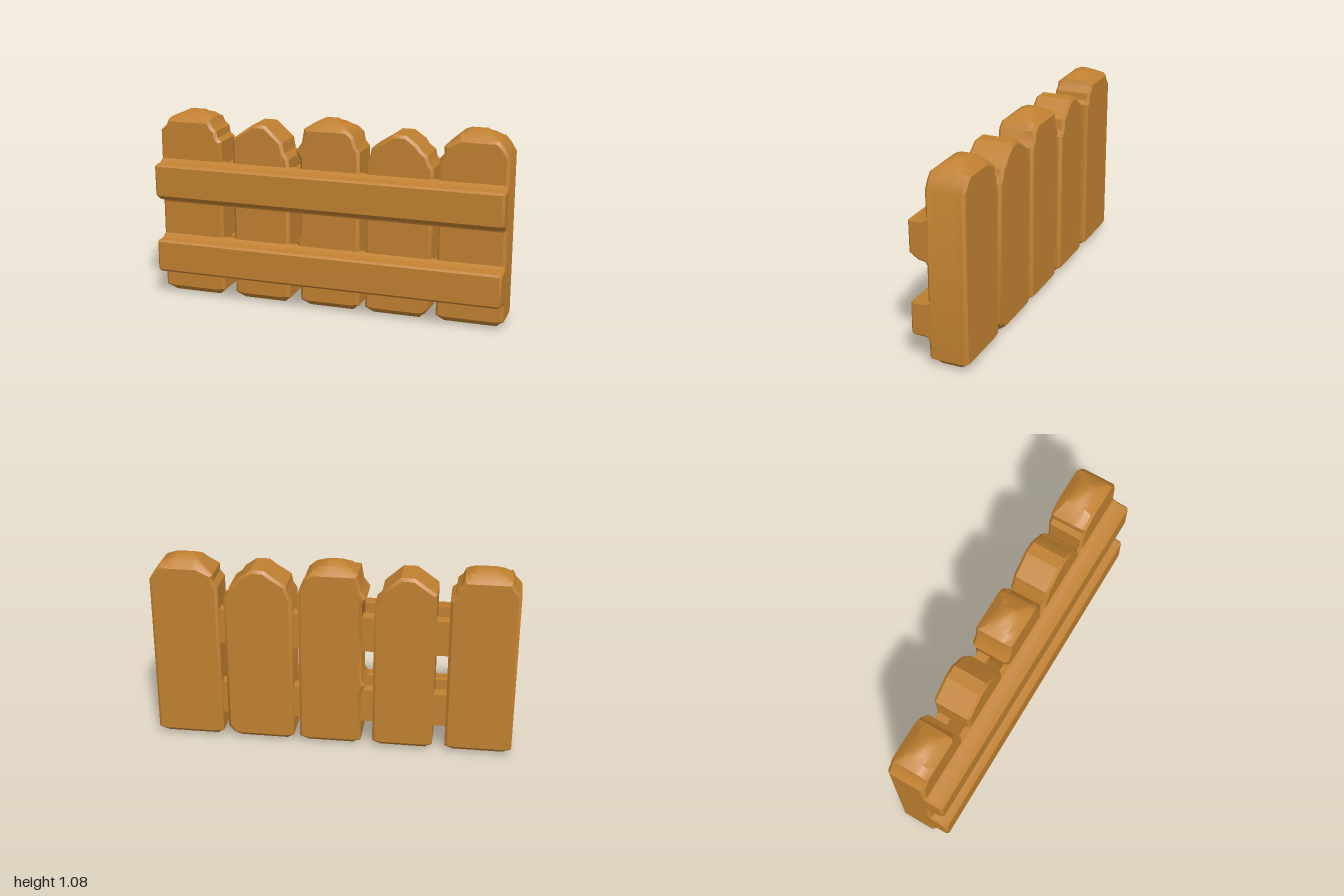
import * as THREE from 'three';
import { toCreasedNormals } from 'three/addons/utils/BufferGeometryUtils.js';

const BACK = -0.155, FRONT = 0.06;

// Solid from a closed outline, with its outer size kept by an inward bevel
function slab(points, depth, bevel, steps) {
  const shape = new THREE.Shape(points.map(([x, y]) => new THREE.Vector2(x, y)));
  const geo = new THREE.ExtrudeGeometry(shape, {
    depth: depth - 2 * bevel, steps, bevelEnabled: true, bevelSegments: 1,
    bevelSize: bevel, bevelThickness: bevel, bevelOffset: -bevel,
  });
  return geo.translate(0, 0, bevel - depth / 2);
}

// Picket board: chamfered foot, and a hipped head on the tall ones
function picketGeometry(points) {
  const depth = FRONT - BACK;
  const geo = slab(points, depth, 0.015, 5);
  const pos = geo.attributes.position;
  for (let i = 0; i < pos.count; i++) {
    const d = depth / 2 - Math.abs(pos.getZ(i));
    const cap = 1.02 + 0.06 * Math.min(1, d / 0.07);
    const foot = Math.max(0, 0.04 - d);
    pos.setY(i, Math.max(foot, Math.min(cap, pos.getY(i))));
  }
  geo.translate(0, 0, (FRONT + BACK) / 2);
  return toCreasedNormals(geo, 0.6);
}

// Rail: side profile (z, y) run along x, flared where it meets the boards
function railGeometry(profile) {
  const geo = slab(profile, 2, 0.012, 1);
  geo.rotateY(-Math.PI / 2);
  return toCreasedNormals(geo, 0.6);
}

export function createModel() {
  const group = new THREE.Group();
  const wood = new THREE.MeshStandardMaterial({ color: 0xc08030 });
  wood.name = 'wood';
  const add = (name, geo) => {
    const mesh = new THREE.Mesh(geo, wood);
    mesh.name = name;
    group.add(mesh);
    return mesh;
  };

  // Hand-cut board outlines, from the foot counterclockwise
  const pickets = [
    [[-1, 0.04], [-0.955, 0], [-0.675, 0], [-0.63, 0.04], [-0.63, 0.92], [-0.655, 0.94],
      [-0.66, 0.98], [-0.685, 1.0], [-0.7, 1.045], [-0.73, 1.06], [-0.77, 1.08], [-0.86, 1.08],
      [-0.9, 1.06], [-0.95, 1.04], [-0.965, 1.0], [-1, 0.965]],
    [[-0.56, 0.04], [-0.52, 0], [-0.27, 0], [-0.225, 0.04], [-0.225, 0.85], [-0.255, 0.88],
      [-0.265, 0.94], [-0.365, 1.03], [-0.44, 1.03], [-0.56, 0.945]],
    [[-0.16, 0.04], [-0.115, 0], [0.14, 0], [0.185, 0.04], [0.185, 0.92], [0.16, 0.95],
      [0.15, 1.0], [0.11, 1.04], [0.06, 1.06], [0.03, 1.08], [-0.04, 1.08], [-0.09, 1.055],
      [-0.135, 1.03], [-0.15, 0.95], [-0.185, 0.9], [-0.16, 0.86], [-0.16, 0.42],
      [-0.185, 0.38], [-0.16, 0.34]],
    [[0.22, 0.04], [0.26, 0], [0.525, 0], [0.56, 0.035], [0.595, 0.075], [0.595, 0.86],
      [0.57, 0.89], [0.56, 0.93], [0.525, 0.955], [0.505, 0.985], [0.44, 1.03], [0.37, 1.03],
      [0.33, 1.0], [0.25, 0.95], [0.24, 0.9], [0.22, 0.87]],
    [[0.625, 0.04], [0.665, 0], [0.955, 0], [1, 0.04], [1, 0.95], [0.97, 1.0],
      [0.94, 1.04], [0.89, 1.06], [0.86, 1.08], [0.77, 1.08], [0.73, 1.06], [0.65, 0.99],
      [0.65, 0.95], [0.625, 0.92]],
  ];
  pickets.forEach((p, i) => add(`picket${i + 1}`, picketGeometry(p)));

  // Two horizontal rails on the front
  add('upperRail', railGeometry([
    [0.03, 0.55], [0.06, 0.55], [0.068, 0.565], [0.11, 0.573], [0.155, 0.605],
    [0.157, 0.775], [0.145, 0.786], [0.08, 0.79], [0.06, 0.805], [0.03, 0.805]]));
  add('lowerRail', railGeometry([
    [0.03, 0.13], [0.06, 0.13], [0.075, 0.15], [0.145, 0.152], [0.157, 0.165],
    [0.157, 0.33], [0.145, 0.341], [0.08, 0.345], [0.06, 0.36], [0.03, 0.36]]));

  // Short spacers between neighbouring boards, behind each rail
  for (const [x, w] of [[-0.595, 0.11], [-0.192, 0.1], [0.202, 0.07], [0.61, 0.07]]) {
    for (const [y, h] of [[0.25, 0.19], [0.685, 0.2]]) {
      const geo = new THREE.BoxGeometry(w, h, 0.07);
      add('spacer', geo).position.set(x, y, -0.095);
    }
  }
  return group;
}
